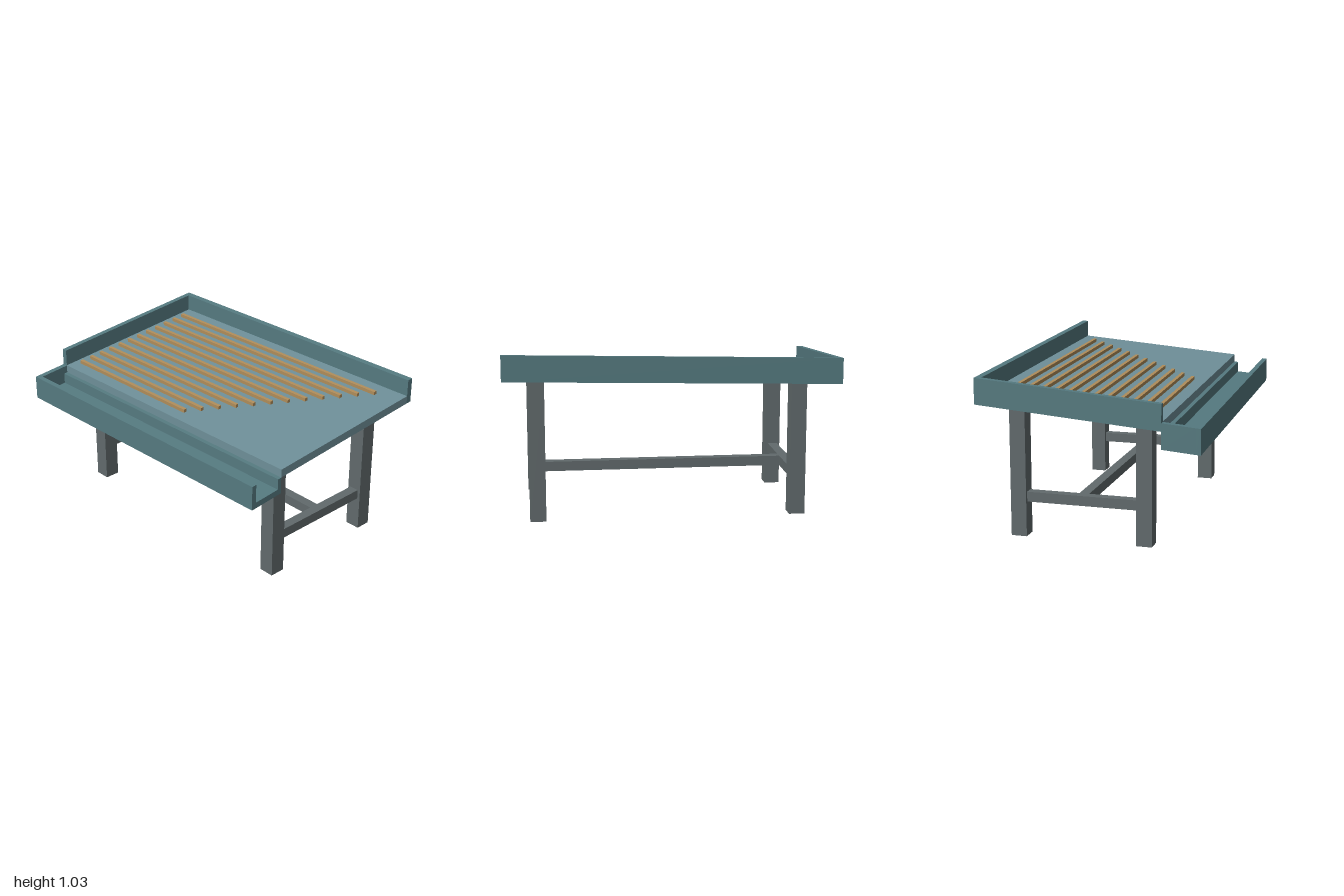
import * as THREE from 'three';

const mat = (color) => new THREE.MeshStandardMaterial({ color, flatShading: true });

// Tilt of the table top: rises towards +x and towards the back
const tilt = (x, z) => 0.025 * x - 0.08 * z;

// Box from min/max ranges; 'tilted' shears it by the table slope, 'top' shears only its upper corners
function block(parent, name, material, [x0, x1], [y0, y1], [z0, z1], mode = 'level') {
  const geo = new THREE.BoxGeometry(x1 - x0, y1 - y0, z1 - z0);
  geo.translate((x0 + x1) / 2, (y0 + y1) / 2, (z0 + z1) / 2);
  const p = geo.attributes.position;
  const mid = (y0 + y1) / 2;
  for (let i = 0; i < p.count; i++) {
    if (mode === 'tilted' || (mode === 'top' && p.getY(i) > mid)) {
      p.setY(i, p.getY(i) + tilt(p.getX(i), p.getZ(i)));
    }
  }
  geo.computeVertexNormals();
  const mesh = new THREE.Mesh(geo, material);
  mesh.name = name;
  parent.add(mesh);
  return mesh;
}

export function createModel() {
  const model = new THREE.Group();
  model.name = 'shakingTable';
  const wallMat = mat(0x557a80);
  const deckMat = mat(0x6f9099);
  const riffleMat = mat(0xb08d5a);
  const frameMat = mat(0x616a6c);
  const group = (name) => {
    const g = new THREE.Group();
    g.name = name;
    model.add(g);
    return g;
  };

  // Sloping deck with raised walls at the back and one end
  const deck = group('deck');
  block(deck, 'deckPlate', deckMat, [-0.965, 1], [0.795, 0.845], [-0.63, 0.44], 'tilted');
  block(deck, 'backWall', wallMat, [-1, 1], [0.795, 0.95], [-0.665, -0.63], 'tilted');
  block(deck, 'endWall', wallMat, [-1, -0.965], [0.795, 0.95], [-0.63, 0.44], 'tilted');

  // Riffles, each shorter than the one behind it
  const riffles = group('riffles');
  for (let i = 0; i < 12; i++) {
    const z = -0.525 + i * 0.08;
    block(riffles, 'riffle', riffleMat, [-0.915, 0.84 - i * 0.067], [0.843, 0.866], [z - 0.01, z + 0.01], 'tilted');
  }

  // Collecting trough along the front, open at the +x end
  const trough = group('trough');
  block(trough, 'troughFloor', wallMat, [-0.965, 1], [0.693, 0.729], [0.465, 0.635], 'tilted');
  block(trough, 'troughFrontWall', wallMat, [-1, 1], [0.693, 0.843], [0.635, 0.665], 'tilted');
  block(trough, 'troughBackWall', wallMat, [-0.965, 1], [0.693, 0.795], [0.44, 0.465], 'tilted');
  block(trough, 'troughEndWall', wallMat, [-1, -0.965], [0.693, 0.843], [0.44, 0.635], 'tilted');

  // Legs cut to the slope of the deck, joined by side rails and a long stretcher
  const frame = group('frame');
  const half = 0.048;
  for (const x of [-0.77, 0.8]) {
    for (const z of [0.292, -0.477]) {
      block(frame, 'leg', frameMat, [x - half, x + half], [0, 0.797], [z - half, z + half], 'top');
    }
    block(frame, 'sideRail', frameMat, [x - 0.03, x + 0.03], [0.21, 0.27], [-0.43, 0.245]);
  }
  block(frame, 'stretcher', frameMat, [-0.74, 0.77], [0.21, 0.27], [-0.123, -0.063]);

  return model;
}
